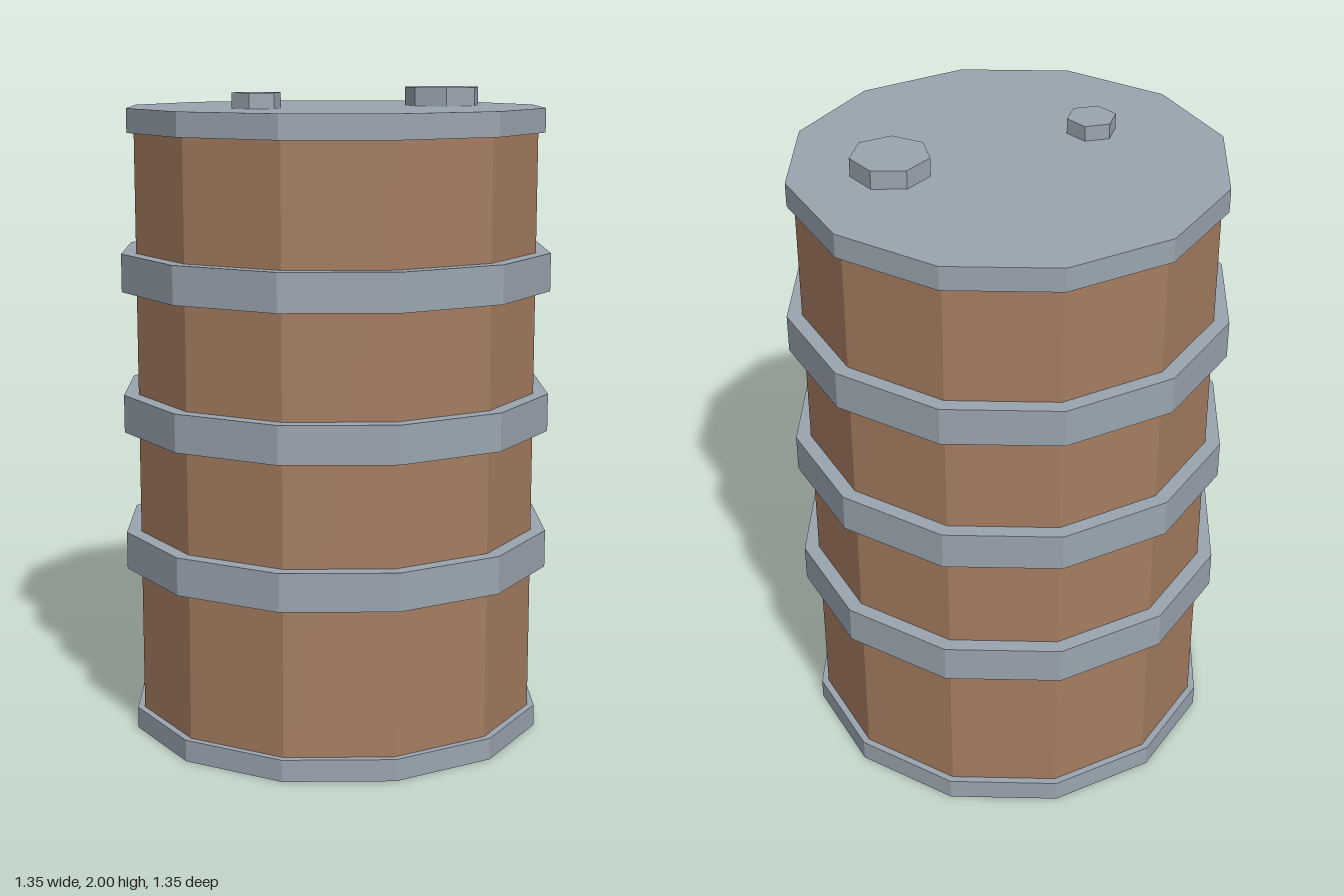
import * as THREE from 'three';

const wood = new THREE.MeshStandardMaterial({ color: 0xa57c60, flatShading: true });
const metal = new THREE.MeshStandardMaterial({ color: 0x9aa5b0, flatShading: true });

export function createModel() {
  const barrel = new THREE.Group();
  barrel.name = 'barrel';

  // Upright prism between two heights
  function prism(name, material, radius, bottom, top, sides = 12, x = 0, z = 0) {
    const geometry = new THREE.CylinderGeometry(radius, radius, top - bottom, sides, 1, false, Math.PI / 2);
    const mesh = new THREE.Mesh(geometry, material);
    mesh.name = name;
    mesh.position.set(x, (bottom + top) / 2, z);
    barrel.add(mesh);
  }

  // Drum wall
  prism('body', wood, 0.628, 0.03, 1.91);

  // End rims, which also close the drum
  prism('bottomRim', metal, 0.65, 0, 0.067);
  prism('lid', metal, 0.65, 1.87, 1.943);

  // Reinforcing hoops
  [0.583, 1.016, 1.45].forEach((y, i) => {
    prism(`hoop${i + 1}`, metal, 0.674, y - 0.058, y + 0.058);
  });

  // Filler caps on the lid
  prism('largeCap', metal, 0.118, 1.93, 2, 7, 0.347, 0);
  prism('smallCap', metal, 0.075, 1.93, 1.99, 6, -0.281, 0.128);

  return barrel;
}
